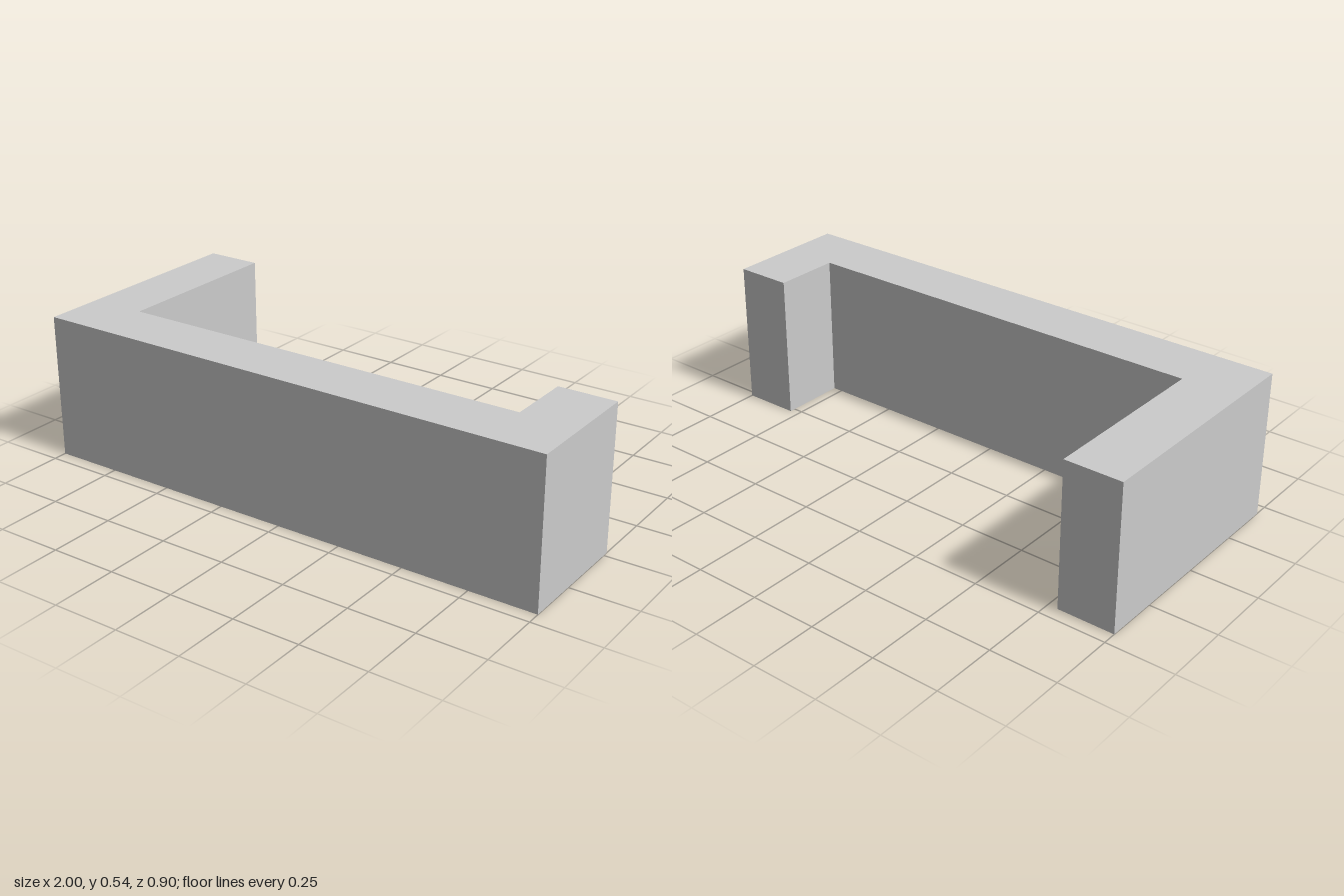
import * as THREE from 'three';

const HEIGHT = 0.543;

// Plan outline as [x, z]: a long front wall with one long and one short return
const PLAN = [
  [-1, 0.448], [1, 0.448], [1, -0.022], [0.787, -0.022],
  [0.787, 0.229], [-0.787, 0.229], [-0.787, -0.448], [-1, -0.448],
];

export function createModel() {
  const group = new THREE.Group();
  group.name = 'wallBlock';

  // Plan drawn with y = -z, extruded and laid flat so the depth becomes the height
  const shape = new THREE.Shape(PLAN.map(([x, z]) => new THREE.Vector2(x, -z)));
  const geometry = new THREE.ExtrudeGeometry(shape, { depth: HEIGHT, bevelEnabled: false });
  geometry.rotateX(-Math.PI / 2);

  const material = new THREE.MeshStandardMaterial({ color: 0xcccccc, flatShading: true });
  const wall = new THREE.Mesh(geometry, material);
  wall.name = 'wallWithReturns';
  group.add(wall);
  return group;
}
